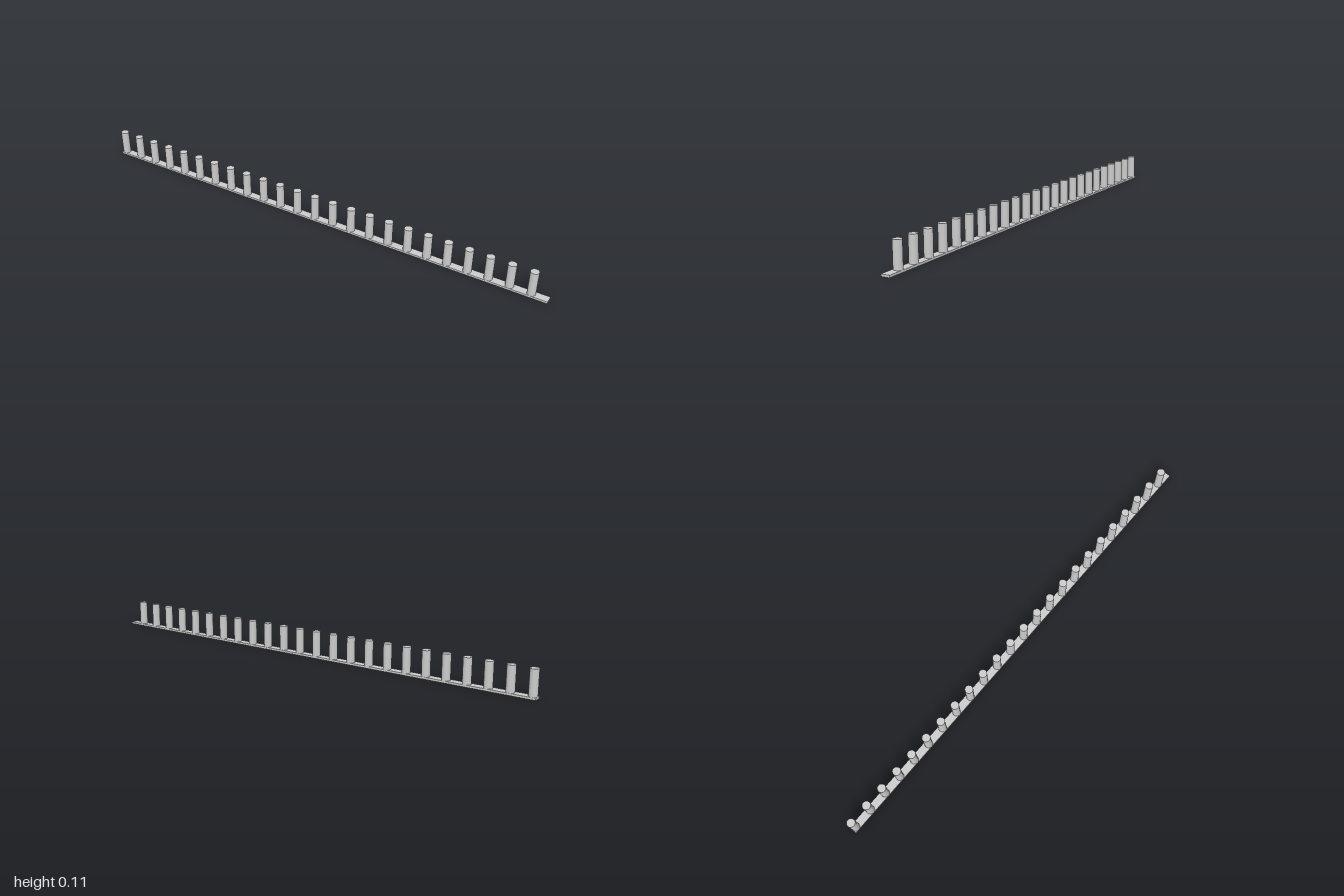
import * as THREE from 'three';

export function createModel() {
  const group = new THREE.Group();
  const material = new THREE.MeshStandardMaterial({ color: 0xcccccc });

  const count = 24;
  const pitch = 2 / count;
  const radius = pitch * 0.2;
  const baseHeight = pitch * 0.1;
  const postHeight = pitch * 1.2;

  // Thin base strip
  const base = new THREE.Mesh(new THREE.BoxGeometry(2, baseHeight, radius * 2), material);
  base.name = 'baseStrip';
  base.position.y = baseHeight / 2;
  group.add(base);

  // Row of round posts, the first flush with the right end
  const postGeometry = new THREE.CylinderGeometry(radius, radius, postHeight, 16);
  for (let i = 0; i < count; i++) {
    const post = new THREE.Mesh(postGeometry, material);
    post.name = `post${i + 1}`;
    post.position.set(-1 + radius + i * pitch, baseHeight + postHeight / 2, 0);
    group.add(post);
  }
  return group;
}
